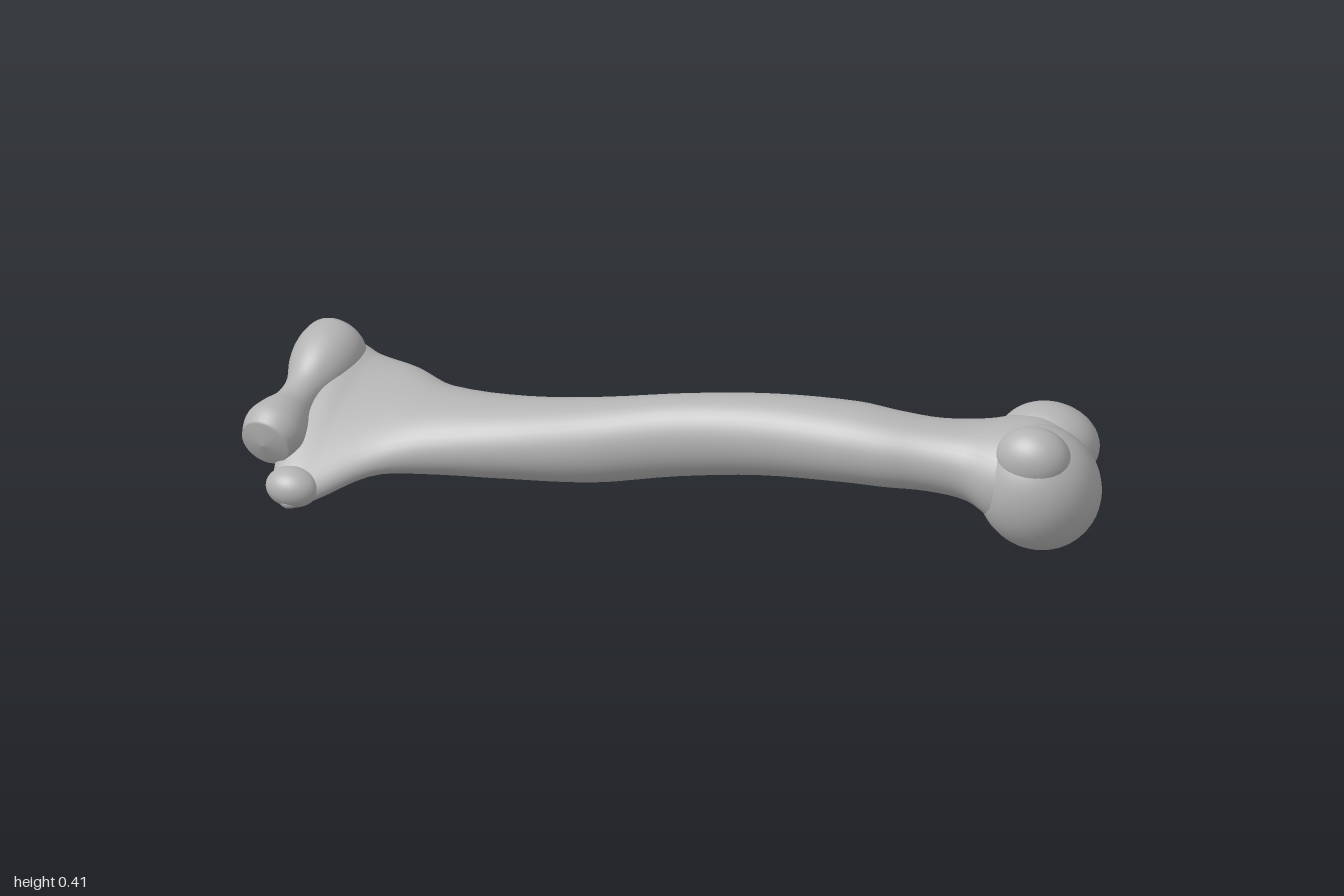
import * as THREE from 'three';

const bone = new THREE.MeshStandardMaterial({ color: 0xb2b2b2 });
bone.name = 'bone grey';

// Cross-sections: x, centre y, centre z, half width, half height, tilt about x
const SECTIONS = [
  [-0.93, 0.14, 0.05, 0.004, 0.004, 0.48],
  [-0.915, 0.135, 0.055, 0.14, 0.03, 0.48],
  [-0.89, 0.128, 0.062, 0.205, 0.043, 0.48],
  [-0.85, 0.123, 0.066, 0.238, 0.05, 0.48],
  [-0.8, 0.12, 0.05, 0.218, 0.054, 0.43],
  [-0.7, 0.137, 0.012, 0.165, 0.056, 0.38],
  [-0.6, 0.133, 0, 0.127, 0.076, 0.3],
  [-0.4, 0.15, -0.01, 0.105, 0.09, 0.2],
  [-0.2, 0.185, -0.012, 0.095, 0.1, 0.1],
  [0, 0.233, -0.025, 0.086, 0.098, 0],
  [0.2, 0.266, -0.045, 0.09, 0.095, 0],
  [0.4, 0.283, -0.058, 0.098, 0.092, 0],
  [0.5, 0.284, -0.062, 0.094, 0.087, 0],
  [0.6, 0.283, -0.077, 0.091, 0.083, 0],
  [0.7, 0.278, -0.102, 0.11, 0.093, 0],
  [0.78, 0.265, -0.115, 0.14, 0.123, 0.1],
  [0.85, 0.26, -0.118, 0.14, 0.13, 0.1],
  [0.92, 0.26, -0.115, 0.1, 0.09, 0.1],
  [0.95, 0.26, -0.115, 0.004, 0.004, 0],
];

// Smooth value of one section column between sections i and i + 1
function blend(i, t, column) {
  const at = (k) => SECTIONS[Math.min(Math.max(k, 0), SECTIONS.length - 1)];
  const [p0, p1, p2, p3] = [at(i - 1), at(i), at(i + 1), at(i + 2)];
  const span = p2[0] - p1[0];
  const m1 = (p2[column] - p0[column]) / (p2[0] - p0[0]) * span;
  const m2 = (p3[column] - p1[column]) / (p3[0] - p1[0]) * span;
  const t2 = t * t, t3 = t2 * t;
  return (2 * t3 - 3 * t2 + 1) * p1[column] + (t3 - 2 * t2 + t) * m1
    + (3 * t2 - 2 * t3) * p2[column] + (t3 - t2) * m2;
}

function shaftGeometry(sides = 40, steps = 4) {
  const positions = [], index = [];
  const rings = (SECTIONS.length - 1) * steps;
  for (let r = 0; r <= rings; r++) {
    const i = Math.min(Math.floor(r / steps), SECTIONS.length - 2);
    const t = r / steps - i;
    const x = THREE.MathUtils.lerp(SECTIONS[i][0], SECTIONS[i + 1][0], t);
    const [cy, cz, a, b, tilt] = [1, 2, 3, 4, 5].map((c) => blend(i, t, c));
    for (let j = 0; j < sides; j++) {
      const angle = j / sides * Math.PI * 2;
      const u = Math.max(a, 0.003) * Math.cos(angle);
      const v = Math.max(b, 0.003) * Math.sin(angle);
      positions.push(x, cy - u * Math.sin(tilt) + v * Math.cos(tilt),
        cz + u * Math.cos(tilt) + v * Math.sin(tilt));
      if (r < rings) {
        const k = r * sides + j, n = r * sides + (j + 1) % sides;
        index.push(k, k + sides, n, n, k + sides, n + sides);
      }
    }
  }
  const geometry = new THREE.BufferGeometry();
  geometry.setAttribute('position', new THREE.Float32BufferAttribute(positions, 3));
  geometry.setIndex(index);
  geometry.computeVertexNormals();
  return geometry;
}

export function createModel() {
  const group = new THREE.Group();
  group.name = 'armBone';
  const add = (name, geometry) => {
    const mesh = new THREE.Mesh(geometry, bone);
    mesh.name = name;
    group.add(mesh);
    return mesh;
  };
  const lobe = (name, centre, radii) => {
    const mesh = add(name, new THREE.SphereGeometry(1, 36, 24));
    mesh.position.set(...centre);
    mesh.scale.set(...radii);
    return mesh;
  };

  // Shaft flaring into the flat, tilted lower end
  add('shaft', shaftGeometry());

  // Ball head and the two bumps beside it
  lobe('head', [0.855, 0.25, -0.085], [0.145, 0.147, 0.125]);
  lobe('greaterTubercle', [0.83, 0.308, -0.193], [0.12, 0.093, 0.093]);
  lobe('lesserTubercle', [0.86, 0.34, -0.045], [0.09, 0.075, 0.068]);

  // Spool-shaped elbow joint: radius, distance along its axis
  const profile = [[0.05, 0.002], [0.073, 0.025], [0.08, 0.075], [0.07, 0.13], [0.046, 0.19],
    [0.045, 0.245], [0.063, 0.295], [0.072, 0.34], [0.058, 0.383]];
  const curve = new THREE.SplineCurve(profile.map((p) => new THREE.Vector2(...p)));
  const points = [new THREE.Vector2(0, 0), ...curve.getPoints(36), new THREE.Vector2(0, 0.392)];
  const start = new THREE.Vector3(-0.897, 0.236, -0.155);
  const end = new THREE.Vector3(-0.93, 0.125, 0.22);
  const spool = add('elbowSpool', new THREE.LatheGeometry(points, 36));
  spool.position.copy(start);
  spool.quaternion.setFromUnitVectors(new THREE.Vector3(0, 1, 0), end.sub(start).normalize());

  // Knob on the inner side of the elbow
  lobe('innerKnob', [-0.85, 0.046, 0.235], [0.062, 0.046, 0.05]);
  return group;
}
